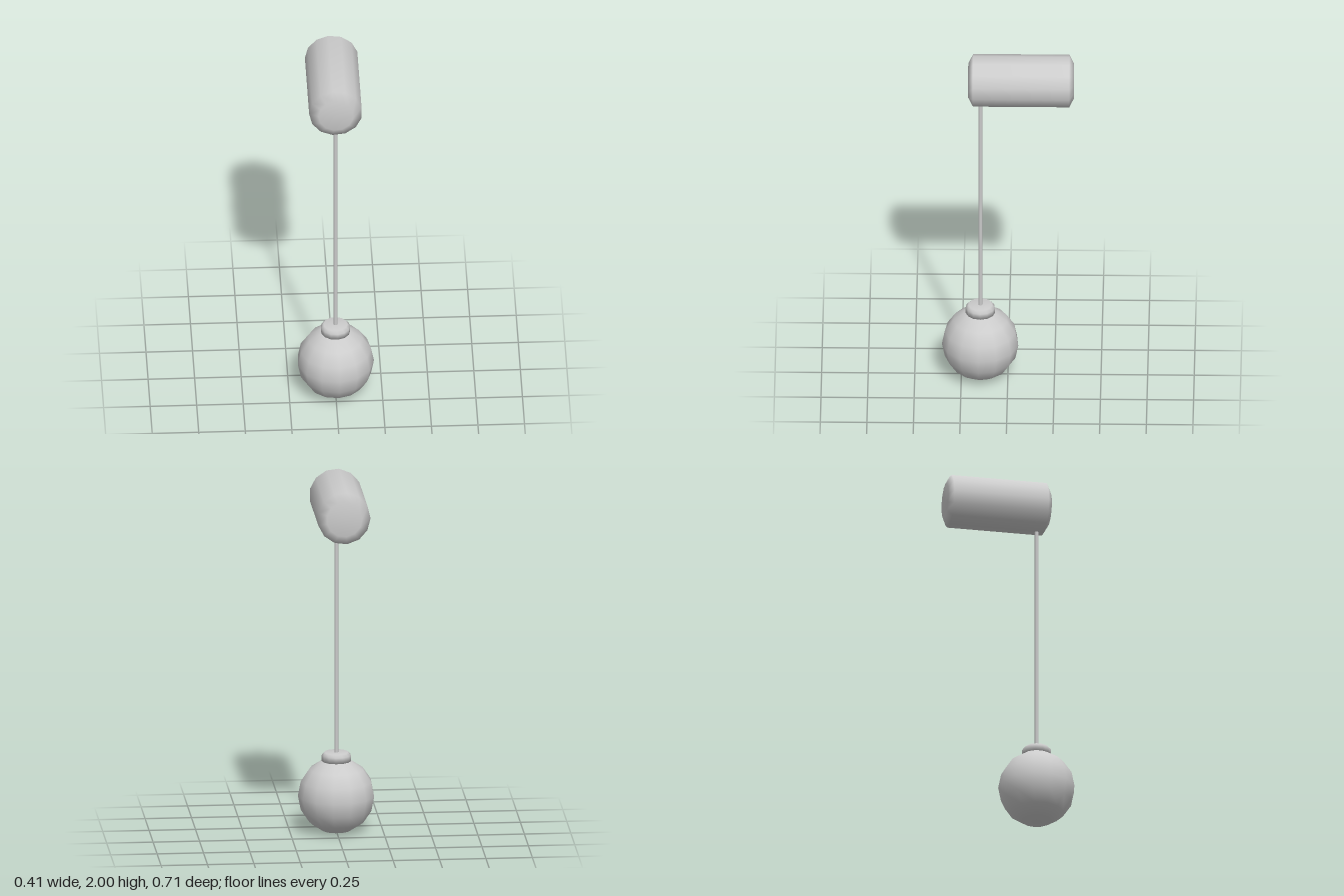
import * as THREE from 'three';

const SIDES = 13;

// Smooth turned part from [radius, height] points, bottom to top
function turned(name, points, material, phiStart, sides = SIDES) {
  const profile = points.map(([r, y]) => new THREE.Vector2(r, y));
  const mesh = new THREE.Mesh(new THREE.LatheGeometry(profile, sides, phiStart), material);
  mesh.name = name;
  return mesh;
}

export function createModel() {
  const group = new THREE.Group();
  group.name = 'pendantLamp';
  const grey = new THREE.MeshStandardMaterial({ color: 0xcccccc });
  grey.name = 'light grey';
  const hangZ = 0.148;

  // Horizontal mounting drum with bevelled ends
  const mount = turned('mountDrum', [
    [0, -0.354], [0.096, -0.354], [0.143, -0.33],
    [0.143, 0.187], [0.094, 0.213], [0, 0.213],
  ], grey, -Math.PI / 2);
  mount.rotation.x = Math.PI / 2;
  mount.position.y = 1.858;
  group.add(mount);

  // Thin hanging rod
  const rod = new THREE.Mesh(new THREE.CylinderGeometry(0.011, 0.011, 1.35, 8), grey);
  rod.name = 'rod';
  rod.position.set(0, 1.085, hangZ);
  group.add(rod);

  // Collar on top of the globe
  const collar = turned('collar', [
    [0, 0.39], [0.079, 0.39], [0.079, 0.424], [0.064, 0.439], [0, 0.439],
  ], grey, Math.PI / 2);
  collar.position.z = hangZ;
  group.add(collar);

  // Globe shade in eight rings, with nearly flat poles
  const rings = [[0, 0]];
  for (let i = 1; i < 8; i++) {
    const a = (i * Math.PI) / 8;
    rings.push([0.207 * Math.sin(a), 0.2 - 0.207 * Math.cos(a)]);
  }
  rings.push([0, 0.4]);
  const globe = turned('globe', rings, grey, THREE.MathUtils.degToRad(87.5));
  globe.position.z = hangZ;
  group.add(globe);

  return group;
}
